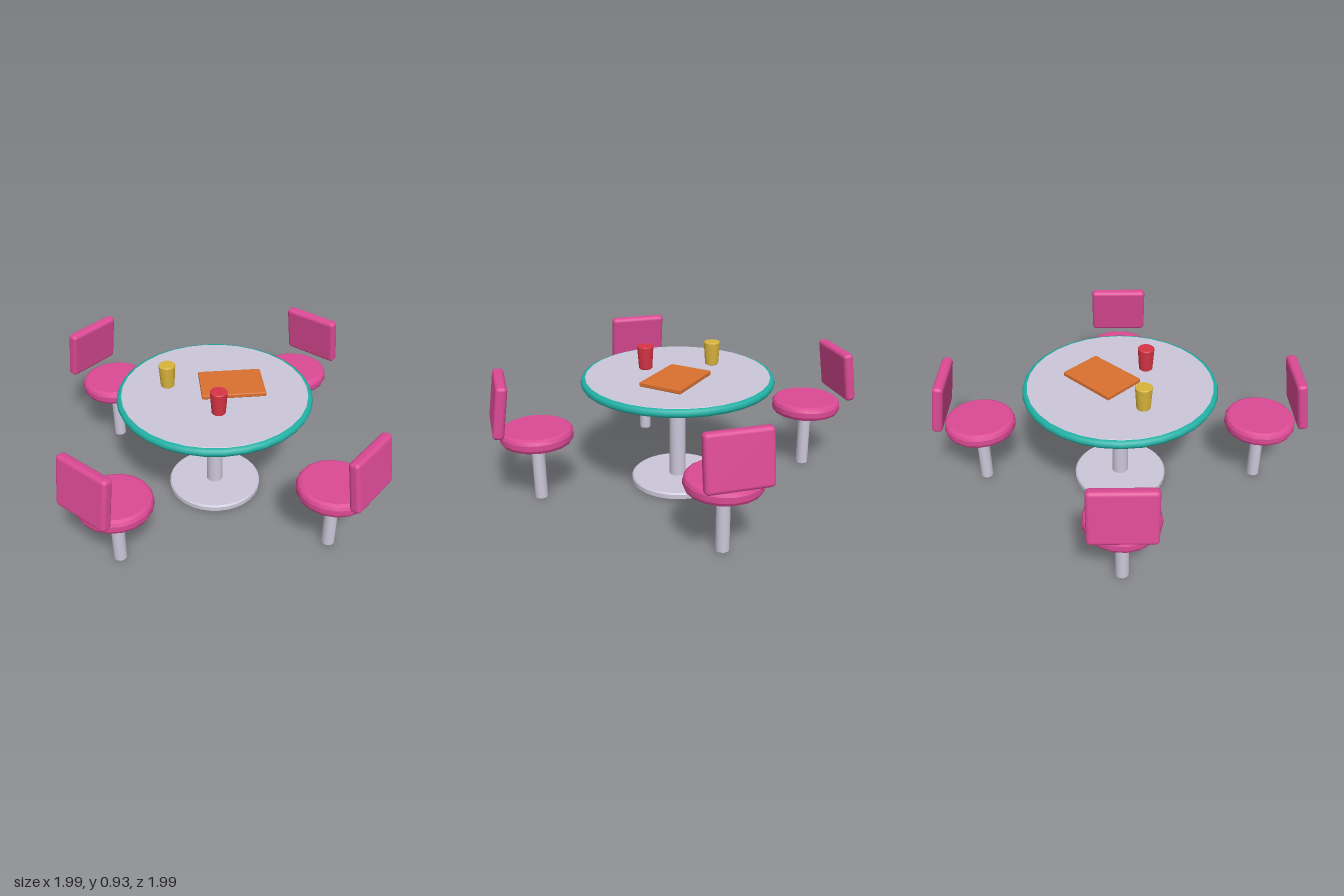
import * as THREE from 'three';
import { toCreasedNormals } from 'three/addons/utils/BufferGeometryUtils.js';
import { RoundedBoxGeometry } from 'three/addons/geometries/RoundedBoxGeometry.js';

const paint = (name, color) => {
  const m = new THREE.MeshStandardMaterial({ color });
  m.name = name;
  return m;
};

// Solid of revolution from [radius, height] pairs, bottom to top
function turned(profile, sides) {
  const points = profile.map(([r, y]) => new THREE.Vector2(r, y));
  return toCreasedNormals(new THREE.LatheGeometry(points, sides), 0.45);
}

// Closed round column with small chamfers; r0 at the bottom, r1 at the top
const column = (r0, r1, y0, y1, c, sides) => turned([
  [0, y0], [r0 - c, y0], [r0, y0 + c], [r1, y1 - c], [r1 - c, y1], [0, y1],
], sides);

export function createModel() {
  const model = new THREE.Group();
  model.name = 'diningSet';
  const grey = paint('paleGrey', 0xcbc6d8);
  const teal = paint('teal', 0x22b2a6);
  const pink = paint('pink', 0xdb4a94);
  const red = paint('red', 0xd63445);
  const yellow = paint('mustard', 0xd8b43c);
  const orange = paint('orange', 0xd97030);

  const add = (parent, name, geometry, material, x = 0, y = 0, z = 0) => {
    const mesh = new THREE.Mesh(geometry, material);
    mesh.name = name;
    mesh.position.set(x, y, z);
    parent.add(mesh);
    return mesh;
  };

  // Pedestal table
  const table = new THREE.Group();
  table.name = 'table';
  model.add(table);
  add(table, 'tableBase', column(0.315, 0.315, 0, 0.05, 0.01, 32), grey);
  add(table, 'tablePost', column(0.055, 0.055, 0.04, 0.73, 0.005, 20), grey);
  add(table, 'tableTop', column(0.606, 0.606, 0.72, 0.772, 0.002, 32), grey);
  const rim = new THREE.TorusGeometry(0.609, 0.028, 8, 32).rotateX(Math.PI / 2);
  add(table, 'tableRim', rim, teal, 0, 0.743, 0);

  // Things on the table
  const cup = column(0.045, 0.055, 0, 0.158, 0.005, 18);
  add(model, 'redCup', cup, red, 0, 0.772, 0.245);
  add(model, 'yellowCup', cup, yellow, -0.3, 0.772, -0.1);
  add(model, 'tray', new RoundedBoxGeometry(0.415, 0.03, 0.295, 2, 0.007), orange, 0.117, 0.787, -0.052);

  // Four chairs on the diagonals, each back turned outward and leaning in
  const seat = turned([
    [0, 0.41], [0.205, 0.41], [0.225, 0.42], [0.235, 0.44],
    [0.235, 0.475], [0.225, 0.495], [0.205, 0.505], [0, 0.505],
  ], 18).rotateY(Math.PI / 2);
  const leg = column(0.042, 0.042, 0, 0.42, 0.008, 16);
  const back = new RoundedBoxGeometry(0.4, 0.34, 0.07, 3, 0.025);
  for (const sx of [-1, 1]) {
    for (const sz of [-1, 1]) {
      const chair = new THREE.Group();
      chair.name = (sz > 0 ? 'front' : 'back') + (sx > 0 ? 'Left' : 'Right') + 'Chair';
      chair.position.set(sx * 0.665, 0, sz * 0.665);
      model.add(chair);
      add(chair, 'chairLeg', leg, grey);
      add(chair, 'seat', seat, pink);
      const rest = add(chair, 'backrest', back, pink, sx * 0.157, 0.693, sz * 0.157);
      rest.rotation.set(-0.15, Math.atan2(sx, sz), 0, 'YXZ');
    }
  }
  return model;
}
